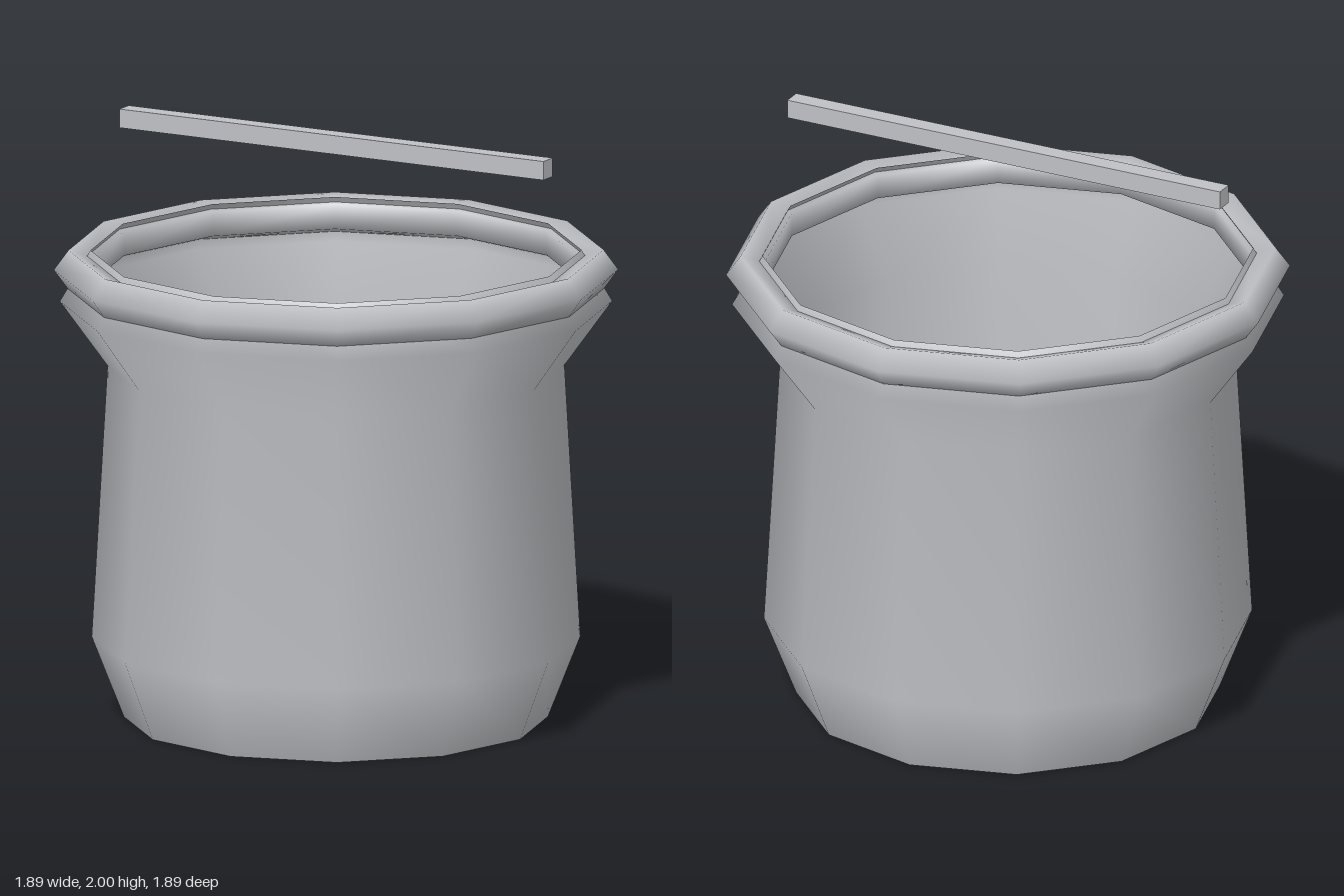
import * as THREE from 'three';

const SIDES = 12;

export function createModel() {
  const group = new THREE.Group();
  const metal = new THREE.MeshStandardMaterial({ color: 0xbfc1c5, side: THREE.DoubleSide });
  metal.name = 'grey metal';

  const add = (name, geometry, y = 0) => {
    const mesh = new THREE.Mesh(geometry, metal);
    mesh.name = name;
    mesh.position.y = y;
    group.add(mesh);
    return mesh;
  };

  // Open-ended wall: tapered foot, narrow neck, flared shoulder, inward lip
  const profile = [
    [0.71, 0], [0.818, 0.275], [0.765, 1.205], [0.925, 1.425], [0.822, 1.6],
  ].map(([r, y]) => new THREE.Vector2(r, y));
  add('bucketWall', new THREE.LatheGeometry(profile, SIDES));

  // Rolled rim, five-sided in section
  add('rim', new THREE.TorusGeometry(0.874, 0.071, 5, SIDES).rotateX(Math.PI / 2), 1.533);

  // Straight bar floating above the opening
  add('handleBar', new THREE.BoxGeometry(1.635, 0.064, 0.064), 1.968);

  return group;
}
